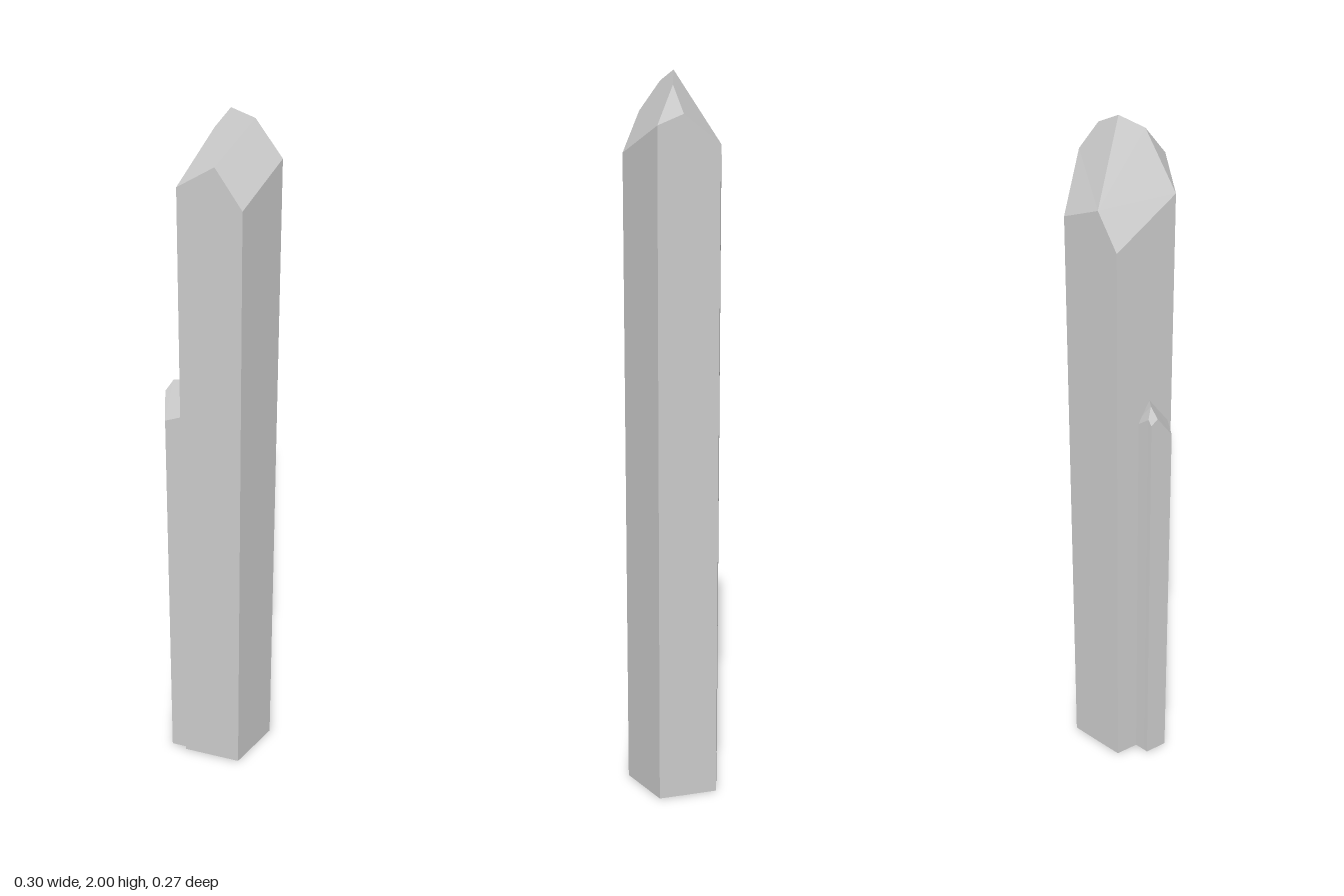
import * as THREE from 'three';

// Builds a faceted crystal: straight walls under a rim, closed by flat facets.
// rim and inner points are [x, y, z]; the rim and facets run counter-clockwise from above.
function crystal(name, rim, inner, facets) {
  const points = [...rim, ...inner];
  const positions = [];
  const addFace = (loop) => {
    for (let i = 1; i < loop.length - 1; i++) {
      positions.push(...loop[0], ...loop[i], ...loop[i + 1]);
    }
  };
  const floor = rim.map(([x, , z]) => [x, 0, z]);

  // Walls
  rim.forEach((p, i) => {
    const j = (i + 1) % rim.length;
    addFace([floor[i], floor[j], rim[j], p]);
  });
  // Underside and tip facets
  addFace([...floor].reverse());
  facets.forEach((f) => addFace(f.map((i) => points[i])));

  const geometry = new THREE.BufferGeometry();
  geometry.setAttribute('position', new THREE.Float32BufferAttribute(positions, 3));
  geometry.computeVertexNormals();
  const material = new THREE.MeshStandardMaterial({ color: 0xcccccc, flatShading: true });
  const mesh = new THREE.Mesh(geometry, material);
  mesh.name = name;
  return mesh;
}

export function createModel() {
  const model = new THREE.Group();
  model.name = 'crystalCluster';

  // Tall five-sided crystal with a five-facet tip
  model.add(crystal(
    'mainCrystal',
    [
      [0.147, 1.87, 0], [0.107, 1.897, -0.056], [0.05, 1.76, -0.135], [-0.054, 1.81, -0.102],
      [-0.109, 1.715, -0.084], [-0.109, 1.83, 0.083], [-0.017, 1.893, 0.112], [0.05, 1.79, 0.133],
    ],
    [[0.021, 2, 0.003], [0.08, 1.966, -0.017], [-0.017, 1.97, 0.054]],
    [[0, 1, 9], [1, 2, 3, 8, 9], [3, 4, 5, 10, 8], [5, 6, 10], [6, 7, 0, 9, 8, 10]],
  ));

  // Short thin crystal half sunk into the flat side
  model.add(crystal(
    'sideCrystal',
    [
      [-0.052, 1.2, 0.027], [-0.089, 1.18, -0.0245], [-0.14, 1.225, -0.008], [-0.15, 1.21, -0.005],
      [-0.15, 1.225, 0.014], [-0.15, 1.16, 0.059], [-0.089, 1.187, 0.0785],
    ],
    [[-0.128, 1.255, 0.007], [-0.095, 1.264, 0.021]],
    [[5, 6, 8, 7, 4], [6, 0, 8], [0, 1, 8], [1, 2, 7, 8], [2, 3, 4, 7]],
  ));

  return model;
}
